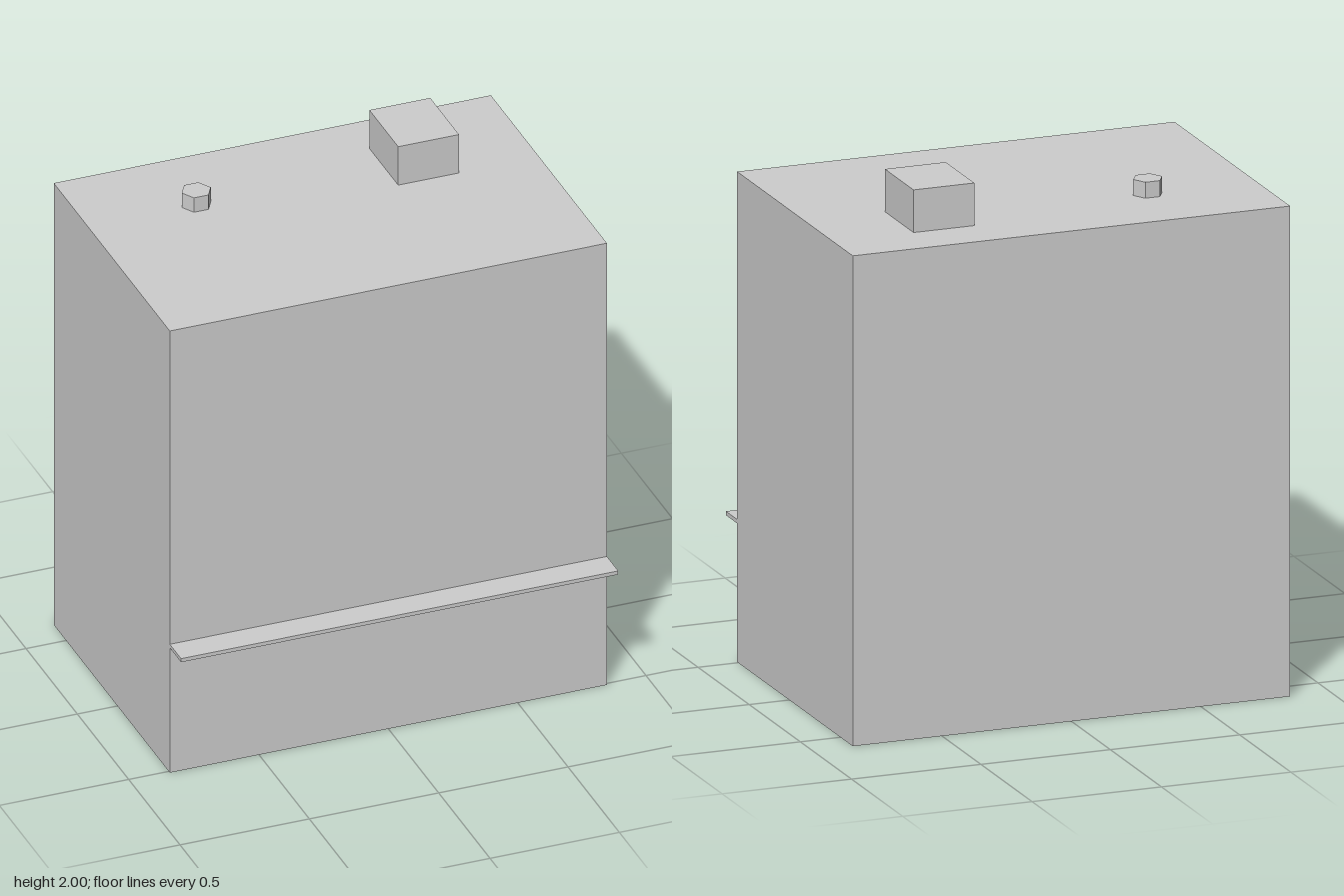
import * as THREE from 'three';

export function createModel() {
  const group = new THREE.Group();
  group.name = 'building';
  const grey = new THREE.MeshStandardMaterial({ color: 0xcccccc, flatShading: true, side: THREE.DoubleSide });
  grey.name = 'plain grey';

  function add(name, geometry) {
    const mesh = new THREE.Mesh(geometry, grey);
    mesh.name = name;
    group.add(mesh);
    return mesh;
  }

  // box given by its lower and upper limits on each axis
  function block(name, [x0, x1], [y0, y1], [z0, z1]) {
    const geometry = new THREE.BoxGeometry(x1 - x0, y1 - y0, z1 - z0);
    geometry.translate((x0 + x1) / 2, (y0 + y1) / 2, (z0 + z1) / 2);
    return add(name, geometry);
  }

  // hollow walls and roof, open underneath
  const shell = block('wallsAndRoof', [-0.845, 0.845], [0, 1.84], [-0.62, 0.51]).geometry;
  const index = Array.from(shell.index.array);
  index.splice(18, 6); // drop the bottom face
  shell.setIndex(index);
  shell.clearGroups();

  // ledge across the front
  block('awning', [-0.845, 0.845], [0.52, 0.535], [0.51, 0.62]);

  // roof fittings
  block('chimney', [0.3, 0.535], [1.84, 2], [-0.43, -0.15]);
  const vent = new THREE.CylinderGeometry(0.056, 0.056, 0.06, 6);
  vent.rotateY(Math.PI / 6);
  vent.translate(-0.425, 1.87, -0.29);
  add('roofVent', vent);

  // row of panels on the inside of the front wall
  for (const x of [-0.635, -0.21, 0.21, 0.635]) {
    block('lowerInnerPanel', [x - 0.178, x + 0.178], [0.26, 0.51], [0.48, 0.509]);
  }

  // deeper panels above them
  block('upperInnerBox', [-0.745, -0.095], [0.71, 1.1], [0.435, 0.509]);
  block('upperInnerPanel', [-0.03, 0.745], [0.7, 1.1], [0.48, 0.509]);

  return group;
}
